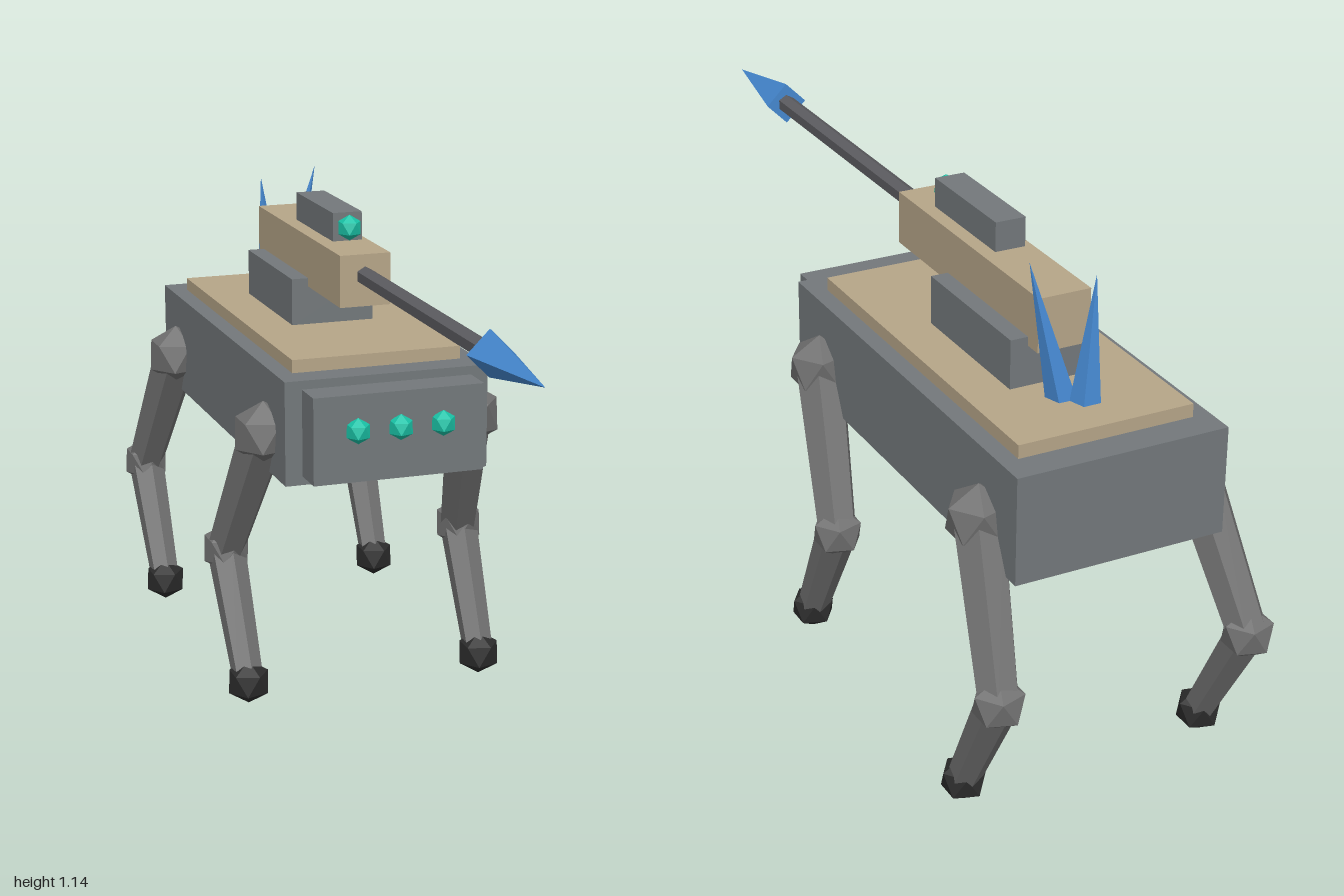
import * as THREE from 'three';

const mat = (name, color) => {
  const m = new THREE.MeshStandardMaterial({ color });
  m.name = name;
  m.flatShading = true;
  return m;
};

export function createModel() {
  const hull = mat('hullGrey', 0x73787b);
  const tan = mat('sandPlate', 0xb6a588);
  const limb = mat('limbGrey', 0x717171);
  const footMat = mat('footBlack', 0x2c2c2c);
  const rod = mat('rodGrey', 0x5c5c60);
  const blue = mat('crystalBlue', 0x4588d0);
  const teal = mat('sensorTeal', 0x1ac4a8);

  const model = new THREE.Group();
  model.name = 'quadrupedWalker';

  const add = (name, geo, material, parent = model) => {
    const mesh = new THREE.Mesh(geo, material);
    mesh.name = name;
    parent.add(mesh);
    return mesh;
  };

  // Box given by half width, y range and z range
  const block = (name, hx, y0, y1, z0, z1, material) =>
    add(name, new THREE.BoxGeometry(2 * hx, y1 - y0, z1 - z0), material)
      .position.set(0, (y0 + y1) / 2, (z0 + z1) / 2);

  // Twenty-sided ball with a corner at the top and bottom
  const ball = (name, r, pos, material, parent) =>
    add(name, new THREE.IcosahedronGeometry(r, 0).rotateZ(-0.5536), material, parent)
      .position.set(...pos);

  // Tapered prism from a (radius ra) to b (radius rb)
  const UP = new THREE.Vector3(0, 1, 0);
  const strut = (name, a, b, ra, rb, sides, material, parent) => {
    const p = new THREE.Vector3(...a), q = new THREE.Vector3(...b);
    const dir = q.clone().sub(p);
    const geo = rb === 0
      ? new THREE.ConeGeometry(ra, dir.length(), sides)
      : new THREE.CylinderGeometry(rb, ra, dir.length(), sides);
    const mesh = add(name, geo, material, parent);
    mesh.position.copy(p).add(q).multiplyScalar(0.5);
    mesh.quaternion.setFromUnitVectors(UP, dir.normalize());
  };

  // Body, head and back plate
  block('body', 0.24, 0.57, 0.81, -0.91, 0.12, hull);
  block('head', 0.2, 0.59, 0.79, 0.1, 0.2, hull);
  block('backPlate', 0.2, 0.81, 0.84, -0.84, 0.05, tan);

  // Turret with sight
  block('turretMount', 0.1, 0.84, 0.95, -0.62, -0.265, hull);
  block('turret', 0.06, 0.93, 1.05, -0.66, -0.03, tan);
  block('sightMount', 0.025, 1.05, 1.06, -0.345, -0.245, hull);
  block('sight', 0.035, 1.057, 1.123, -0.43, -0.155, hull);
  ball('sightLens', 0.03, [0, 1.09, -0.14], teal);

  // Lance with a four-sided point
  strut('lanceRod', [0, 1, -0.06], [0, 1, 0.74], 0.022, 0.022, 6, rod);
  strut('lancePoint', [0, 1, 0.72], [0, 1, 1], 0.05, 0, 4, blue);

  // Crystal spikes behind the turret
  strut('tallSpike', [0.02, 0.835, -0.692], [0.09, 1.14, -0.672], 0.034, 0, 5, blue);
  strut('shortSpike', [-0.015, 0.835, -0.728], [-0.035, 1.11, -0.722], 0.034, 0, 5, blue);

  // Row of three sensors on the head
  for (const x of [-0.1, 0, 0.1]) ball('headSensor', 0.03, [x, 0.71, 0.21], teal);

  // Four legs, each bent backward at the knee
  for (const side of [1, -1]) {
    for (const [end, z] of [['front', 0], ['rear', -0.76]]) {
      const leg = new THREE.Group();
      leg.name = end + (side > 0 ? 'LeftLeg' : 'RightLeg');
      model.add(leg);
      const hip = [side * 0.25, 0.66, z - 0.012];
      const knee = [side * 0.293, 0.335, z - 0.187];
      const foot = [side * 0.288, 0.055, z - 0.032];
      ball('hipJoint', 0.075, hip, limb, leg);
      strut('thigh', hip, knee, 0.058, 0.046, 6, limb, leg);
      ball('kneeJoint', 0.06, knee, limb, leg);
      strut('shin', knee, foot, 0.046, 0.036, 6, limb, leg);
      ball('foot', 0.053, foot, footMat, leg);
    }
  }
  return model;
}
